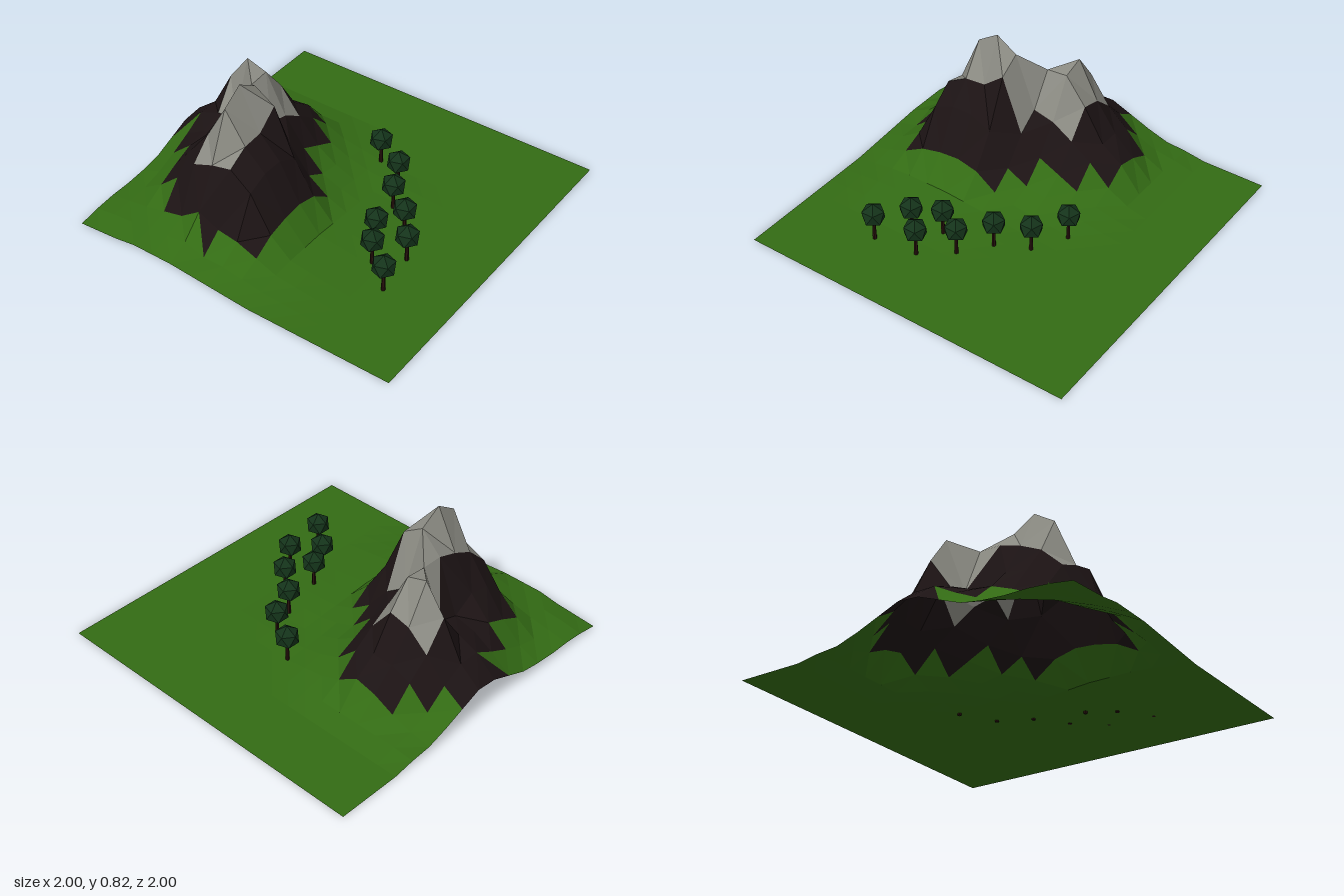
import * as THREE from 'three';

const N = 16, STEP = 0.125;

// Height sections in hundredths, west to east (x = -1 .. 0.125), from z = -0.5 to z = 1
const sections = [
  [2, 3, 3, 3, 3, 3, 2, 1, 0, 0],
  [3, 5, 9, 15, 18, 10, 5, 3, 1, 0],
  [7, 10, 22, 27, 27, 22, 10, 5, 2, 1],
  [12, 20, 33, 44, 47, 31, 16, 8, 3, 1],
  [17, 27, 50, 67, 63, 39, 22, 10, 5, 2],
  [16, 27, 32, 34, 62, 42, 33, 17, 8, 3],
  [11, 20, 27, 30, 62, 74, 66, 37, 17, 4],
  [6, 14, 25, 38, 58, 82, 56, 43, 20, 5],
  [4, 9, 20, 36, 52, 74, 55, 43, 19, 5],
  [3, 6, 14, 25, 40, 45, 48, 38, 16, 5],
  [3, 5, 7, 10, 13, 22, 16, 14, 9, 4],
  [2, 4, 5, 6, 8, 10, 6, 6, 4, 2],
  [0, 1, 2, 4, 4, 4, 3, 2, 1, 0],
];

// Cell spans [first, end) of each band, keyed by grid row
const rockSpans = {
  5: [2, 5], 6: [1, 6], 7: [0, 6], 8: [0, 7], 9: [1, 8],
  10: [1, 8], 11: [2, 8], 12: [2, 8], 13: [3, 8],
};
const snowSpans = { 7: [2, 5], 8: [2, 5], 9: [4, 6], 10: [4, 6], 11: [4, 6], 12: [4, 6] };

// Cells whose northern triangle belongs to a higher band: key "column,row"
const splitCells = {
  '3,9': { band: 'snow', falling: true },
  '5,14': { band: 'rock', falling: true },
  '0,9': { band: 'rock', falling: false },
};

function heightAt(i, j) {
  const row = sections[j - 4];
  if (!row) return 0;
  if (i < row.length) return row[i] / 100;
  // Foothills fade out to the east
  return row[9] / 100 * Math.max(0, 1 - (i - 9) * 0.35);
}

const inSpan = (span, i) => span && i >= span[0] && i < span[1];

function bandAt(i, j) {
  if (inSpan(snowSpans[j], i)) return 'snow';
  return inSpan(rockSpans[j], i) ? 'rock' : 'grass';
}

function buildTerrain() {
  const positions = { grass: [], rock: [], snow: [] };
  const point = (i, j) => new THREE.Vector3(-1 + i * STEP, heightAt(i, j), -1 + j * STEP);
  const add = (band, ...corners) => corners.forEach((p) => positions[band].push(p.x, p.y, p.z));

  for (let j = 0; j < N; j++) {
    for (let i = 0; i < N; i++) {
      const nw = point(i, j), ne = point(i + 1, j);
      const sw = point(i, j + 1), se = point(i + 1, j + 1);
      const band = bandAt(i, j);
      const split = splitCells[`${i},${j}`];
      // Fold each cell along its shorter diagonal
      const falling = split ? split.falling : nw.distanceTo(se) < ne.distanceTo(sw);
      const north = split ? split.band : band;
      if (falling) {
        add(north, nw, se, ne);
        add(band, nw, sw, se);
      } else {
        add(north, nw, sw, ne);
        add(band, ne, sw, se);
      }
    }
  }

  const terrain = new THREE.Group();
  terrain.name = 'terrain';
  const looks = { grass: ['grassland', 0x336b14], rock: ['rockSlopes', 0x1c1314], snow: ['snowCaps', 0x8a8a82] };
  for (const [band, [name, color]] of Object.entries(looks)) {
    const geometry = new THREE.BufferGeometry();
    geometry.setAttribute('position', new THREE.Float32BufferAttribute(positions[band], 3));
    geometry.computeVertexNormals();
    const material = new THREE.MeshStandardMaterial({ color, flatShading: true, side: THREE.DoubleSide });
    const mesh = new THREE.Mesh(geometry, material);
    mesh.name = name;
    terrain.add(mesh);
  }
  return terrain;
}

function buildTrees() {
  const trunkGeometry = new THREE.CylinderGeometry(0.009, 0.012, 0.12, 6).translate(0, 0.06, 0);
  // Turn the icosahedron so that a corner points up
  const crownGeometry = new THREE.IcosahedronGeometry(0.071, 0)
    .rotateZ(Math.atan(2 / (1 + Math.sqrt(5))))
    .translate(0, 0.166, 0);
  const trunkMaterial = new THREE.MeshStandardMaterial({ color: 0x26100c, flatShading: true });
  const crownMaterial = new THREE.MeshStandardMaterial({ color: 0x14331a, flatShading: true });

  const spots = [
    [0.01, -0.37], [0.2, -0.26], [0.29, -0.08], [0.45, 0.05],
    [0.37, 0.2], [0.58, 0.22], [0.45, 0.35], [0.61, 0.48],
  ];
  const trees = new THREE.Group();
  trees.name = 'trees';
  for (const [x, z] of spots) {
    const tree = new THREE.Group();
    tree.name = 'tree';
    const trunk = new THREE.Mesh(trunkGeometry, trunkMaterial);
    trunk.name = 'trunk';
    const crown = new THREE.Mesh(crownGeometry, crownMaterial);
    crown.name = 'crown';
    tree.add(trunk, crown);
    tree.position.set(x, 0, z);
    trees.add(tree);
  }
  return trees;
}

export function createModel() {
  const model = new THREE.Group();
  model.name = 'mountainLandscape';
  model.add(buildTerrain(), buildTrees());
  return model;
}
